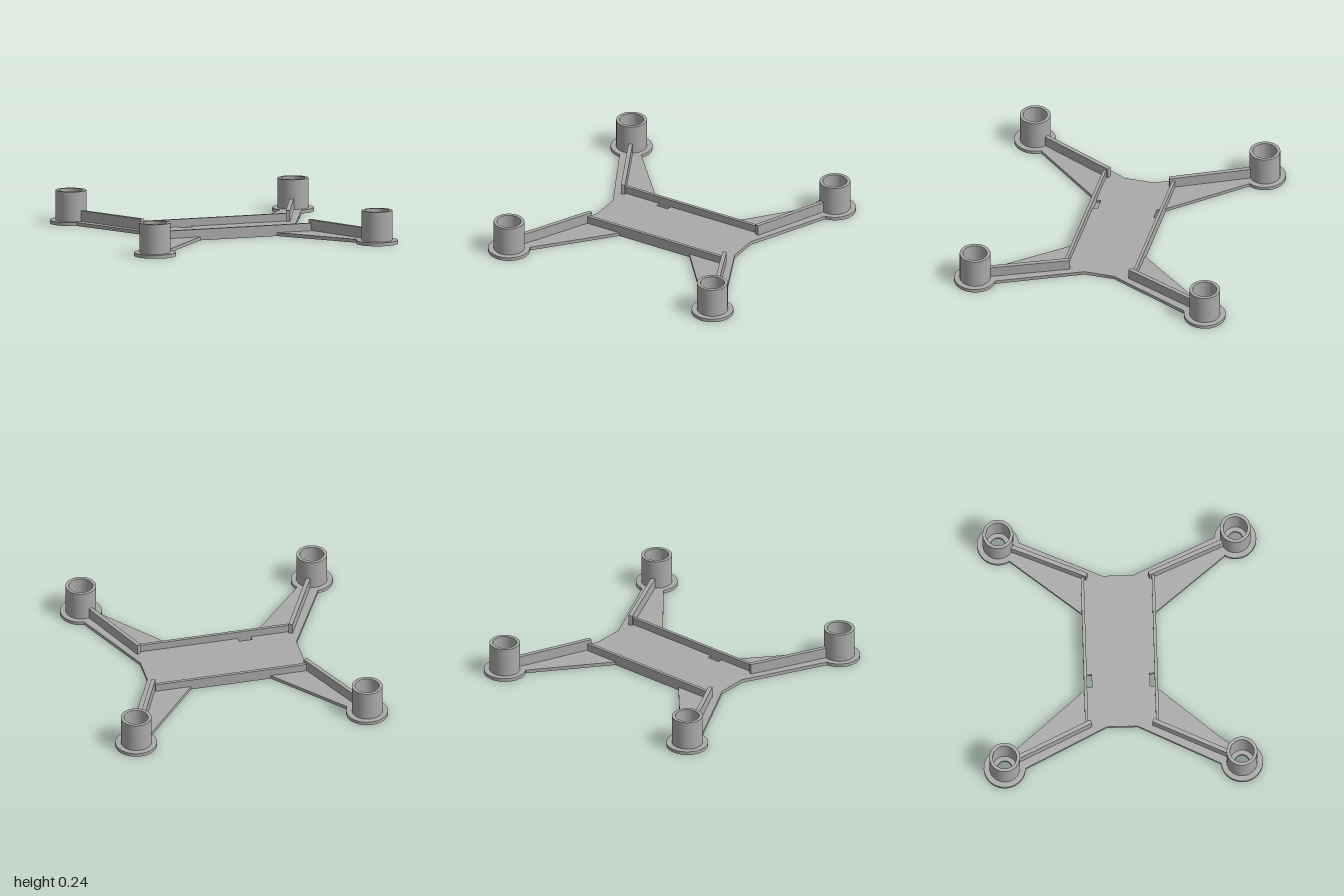
import * as THREE from 'three';
import { toCreasedNormals } from 'three/addons/utils/BufferGeometryUtils.js';

const PLATE = 0.025; // plate thickness
const MOUNT = 0.85; // motor mount offset along x and z

const grey = new THREE.MeshStandardMaterial({ color: 0xaaaaaa });
grey.name = 'grey plastic';

// Extrude a ground-plan shape (x, -z) upward from y = base
function raise(name, shape, base, top) {
  const flat = new THREE.ExtrudeGeometry(shape, { depth: top - base, bevelEnabled: false, curveSegments: 32 });
  flat.rotateX(-Math.PI / 2).translate(0, base, 0);
  const mesh = new THREE.Mesh(toCreasedNormals(flat, 0.6), grey);
  mesh.name = name;
  return mesh;
}

const polygon = (points) => new THREE.Shape(points.map(([x, y]) => new THREE.Vector2(x, y)));

function ring(outer, inner) {
  const shape = new THREE.Shape().absarc(0, 0, outer, 0, Math.PI * 2);
  shape.holes.push(new THREE.Path().absarc(0, 0, inner, 0, Math.PI * 2, true));
  return shape;
}

// Upright wall along a line on the ground plan
function wall(name, [x1, z1], [x2, z2], width, height) {
  const length = Math.hypot(x2 - x1, z2 - z1);
  const mesh = new THREE.Mesh(new THREE.BoxGeometry(length, height - PLATE, width), grey);
  mesh.position.set((x1 + x2) / 2, (height + PLATE) / 2, (z1 + z2) / 2);
  mesh.rotation.y = -Math.atan2(z2 - z1, x2 - x1);
  mesh.name = name;
  return mesh;
}

export function createModel() {
  const model = new THREE.Group();
  model.name = 'quadcopterFrame';

  // Base plate with four tapering arms
  const right = [[0.59, 0.11], [0.86, 0.70], [0.72, 0.77], [0.305, 0.265]];
  const left = [[-0.28, 0.265], [-0.72, 0.77], [-0.86, 0.70], [-0.56, 0.11]];
  const half = [...right, ...left];
  const plate = polygon([...half, ...half.map(([x, y]) => [x, -y]).reverse()]);

  // Strap slots beside the rails
  for (const s of [1, -1]) {
    const slot = [[-0.257, 0.208], [-0.257, 0.243], [-0.16, 0.243], [-0.16, 0.208]];
    plate.holes.push(new THREE.Path(slot.map(([x, y]) => new THREE.Vector2(x, y * s))));
  }
  model.add(raise('basePlate', plate, 0, PLATE));

  for (const s of [1, -1]) {
    const end = s > 0 ? 'front' : 'back';
    // Long side rail and angled arm ribs
    model.add(wall(end + 'Rail', [-0.545, s * 0.254], [0.567, s * 0.254], 0.022, 0.08));
    model.add(wall(end + 'RightArmRib', [-0.543, s * 0.222], [-0.802, s * 0.757], 0.03, 0.102));
    model.add(wall(end + 'LeftArmRib', [0.573, s * 0.222], [0.805, s * 0.757], 0.03, 0.102));

    // Motor mounts: drilled disc with a cup wall
    for (const side of [1, -1]) {
      const mount = new THREE.Group();
      mount.name = end + (side > 0 ? 'Left' : 'Right') + 'MotorMount';
      mount.add(raise('mountDisc', ring(0.15, 0.052), 0, PLATE));
      mount.add(raise('mountCup', ring(0.11, 0.086), PLATE, 0.24));
      mount.position.set(side * MOUNT, 0, s * MOUNT);
      model.add(mount);
    }
  }
  return model;
}
